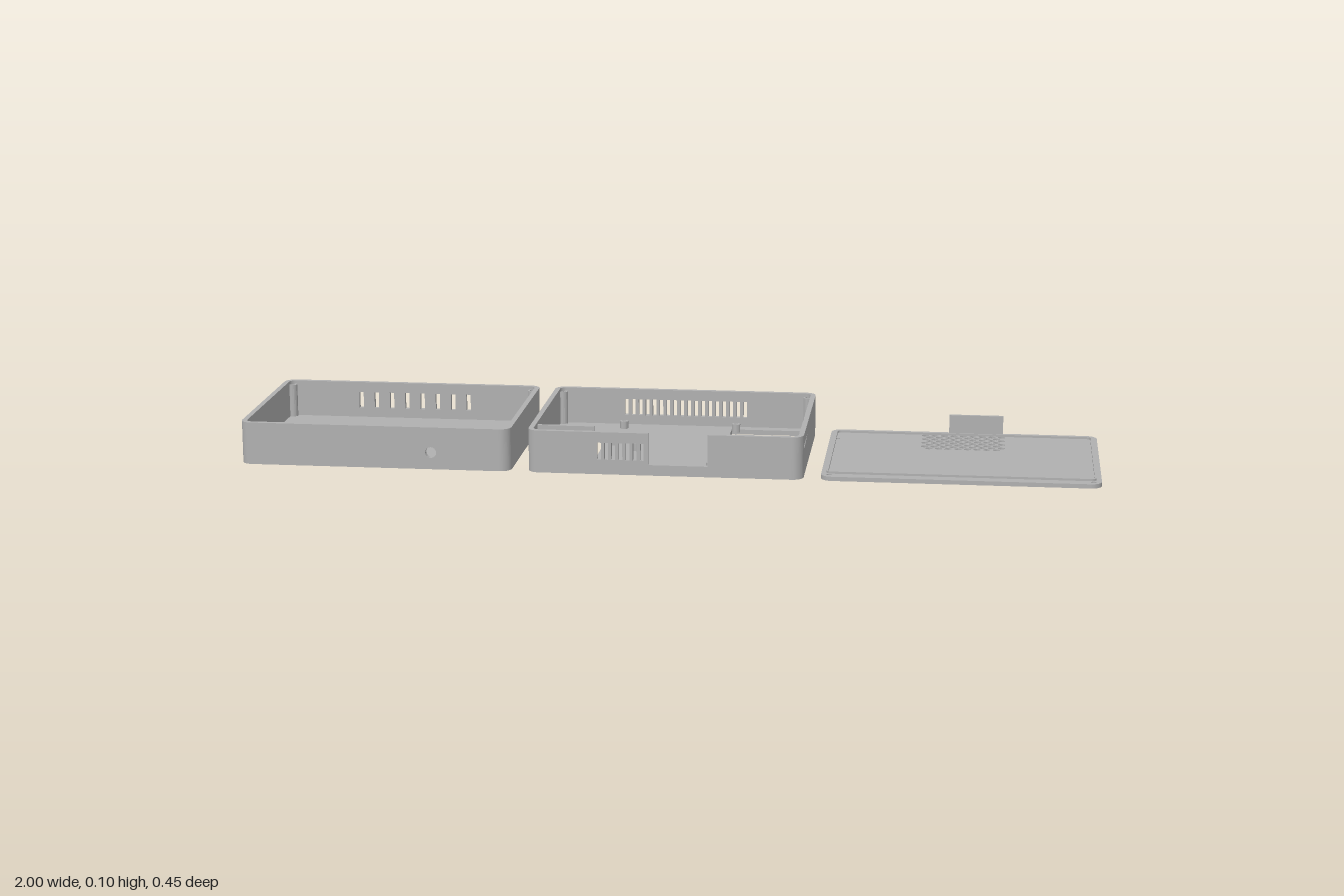
import * as THREE from 'three';

const W = 0.64, D = 0.454, H = 0.1, R = 0.026, T = 0.012, FLOOR = 0.012;
const grey = new THREE.MeshStandardMaterial({ color: 0xb0b0b0 });
grey.name = 'grey plastic';

function add(parent, name, geometry, x = 0, y = 0, z = 0) {
  const mesh = new THREE.Mesh(geometry, grey);
  mesh.name = name;
  mesh.position.set(x, y, z);
  parent.add(mesh);
  return mesh;
}

const extrude = (shape, depth) =>
  new THREE.ExtrudeGeometry(shape, { depth, bevelEnabled: false, curveSegments: 8 });

// Upright slab drawn in plan: shape (x, -z), raised along y
const slab = (shape, height) => extrude(shape, height).rotateX(-Math.PI / 2);

function rectPath(x0, y0, x1, y1, Type = THREE.Path) {
  const p = new Type();
  p.moveTo(x0, y0).lineTo(x1, y0).lineTo(x1, y1).lineTo(x0, y1).closePath();
  return p;
}

function roundPath(x, y, r) {
  const p = new THREE.Path();
  p.absarc(x, y, r, 0, Math.PI * 2);
  return p;
}

function roundedRect(w, d, r, Type = THREE.Shape) {
  const p = new Type(), x = w / 2 - r, y = d / 2 - r;
  p.absarc(x, y, r, 0, Math.PI / 2);
  p.absarc(-x, y, r, Math.PI / 2, Math.PI);
  p.absarc(-x, -y, r, Math.PI, Math.PI * 1.5);
  p.absarc(x, -y, r, Math.PI * 1.5, Math.PI * 2);
  p.closePath();
  return p;
}

// Row of upright vent slots
const slots = (first, pitch, count, width) => Array.from({ length: count }, (_, i) => {
  const c = first + i * pitch;
  return rectPath(c - width / 2, 0.035, c + width / 2, 0.075);
});

// Short tube with a screw hole
function post(parent, name, x, z, y0, y1, r, hole) {
  const s = new THREE.Shape();
  s.absarc(0, 0, r, 0, Math.PI * 2);
  s.holes.push(roundPath(0, 0, hole));
  add(parent, name, slab(s, y1 - y0), x, y0, z);
}

// Open tray: floor, four walls, rounded corners and corner screw posts
function tray(name, floorHoles, wallHoles, notch) {
  const g = new THREE.Group();
  g.name = name;
  const floor = roundedRect(W, D, R);
  floor.holes.push(...floorHoles);
  add(g, 'floor', slab(floor, FLOOR));

  ['front', 'right', 'back', 'left'].forEach((side, i) => {
    const half = (i % 2 ? D : W) / 2 - R;
    const s = new THREE.Shape();
    s.moveTo(-half, FLOOR).lineTo(half, FLOOR).lineTo(half, H);
    if (notch && side === 'front') {
      s.lineTo(notch[1], H).lineTo(notch[1], notch[2]);
      s.lineTo(notch[0], notch[2]).lineTo(notch[0], H);
    }
    s.lineTo(-half, H).closePath();
    s.holes.push(...(wallHoles[side] || []));
    const pivot = new THREE.Group();
    pivot.name = side + 'Wall';
    pivot.rotation.y = i * Math.PI / 2;
    add(pivot, side + 'WallPanel', extrude(s, T), 0, 0, (i % 2 ? W : D) / 2 - T);
    g.add(pivot);
  });

  for (const sx of [-1, 1]) for (const sz of [-1, 1]) {
    const a = Math.atan2(-sz, sx) - Math.PI / 4;
    const arc = new THREE.Shape();
    arc.absarc(0, 0, R, a, a + Math.PI / 2);
    arc.absarc(0, 0, R - T, a + Math.PI / 2, a, true);
    arc.closePath();
    add(g, 'cornerWall', slab(arc, H - FLOOR), sx * (W / 2 - R), FLOOR, sz * (D / 2 - R));
    post(g, 'cornerPost', sx * (W / 2 - 0.019), sz * (D / 2 - 0.019), FLOOR, 0.092, 0.011, 0.006);
  }
  return g;
}

export function createModel() {
  const model = new THREE.Group();
  model.name = 'enclosureSet';

  // Plain tray with a cable hole and two floor holes
  const cover = tray('coverTray',
    [roundPath(0.025, 0.05, 0.009), roundPath(0.025, -0.18, 0.009)],
    { front: [roundPath(0.133, 0.04, 0.013)], back: slots(-0.14, 0.0385, 8, 0.011) });
  cover.position.x = -0.68;
  model.add(cover);

  // Board tray with windows, vents and a front notch
  const board = tray('boardTray',
    [rectPath(-0.308, -0.123, -0.174, 0.08), rectPath(0.117, 0.07, 0.286, 0.188)],
    {
      front: slots(-0.152, 0.0166, 7, 0.009),
      right: slots(-0.196, 0.0166, 10, 0.009),
      back: slots(-0.147, 0.0172, 18, 0.009),
    }, [-0.038, 0.1, 0.025]);
  model.add(board);
  add(board, 'partition', new THREE.BoxGeometry(0.136, 0.082, 0.008), -0.242, 0.053, 0.146);
  const standoffs = [
    [-0.146, -0.172], [0.129, -0.172], [-0.146, -0.005], [0.129, -0.005],
    [-0.088, 0.042], [0.104, 0.042], [-0.088, 0.203], [0.104, 0.203],
  ];
  for (const [x, z] of standoffs) post(board, 'standoff', x, z, FLOOR - 0.002, 0.03, 0.01, 0.005);
  post(board, 'standoff', -0.305, 0.134, FLOOR - 0.002, 0.03, 0.009, 0.005);

  // Flat lid: stepped plate with a honeycomb vent and screw holes
  const lid = new THREE.Group();
  lid.name = 'lid';
  lid.position.x = 0.68;
  model.add(lid);
  const ventHoles = () => {
    const list = [];
    for (let row = 0; row < 8; row++) {
      for (let col = 0; col < (row % 2 ? 8 : 9); col++) {
        const x = -0.091 + (col + (row % 2) / 2) * 0.0228, y = 0.187 - row * 0.0178;
        const hex = new THREE.Path();
        for (let k = 0; k < 6; k++) {
          const a = (k + 0.5) * Math.PI / 3;
          const px = x + 0.0095 * Math.cos(a), py = y + 0.0095 * Math.sin(a);
          k ? hex.lineTo(px, py) : hex.moveTo(px, py);
        }
        hex.closePath();
        list.push(hex);
      }
    }
    return list;
  };
  const screwHoles = [[-0.301, 0.135], [-0.301, -0.208], [0.301, -0.208], [0.301, 0.208]]
    .map(([x, y]) => roundPath(x, y, 0.006));
  const plate = roundedRect(W, D, R);
  plate.holes.push(...ventHoles(), ...screwHoles);
  add(lid, 'lidPlate', slab(plate, 0.01));

  // Low lip around the lid
  const lip = roundedRect(W - 0.024, D - 0.056, 0.012);
  lip.holes.push(roundedRect(W - 0.032, D - 0.064, 0.008, THREE.Path));
  add(lid, 'lidLip', slab(lip, 0.006), 0, 0.009, 0);

  // Upright tab that closes the notch
  add(lid, 'lidTab', new THREE.BoxGeometry(0.13, 0.048, 0.008), 0.03, 0.031, -0.222);

  return model;
}
